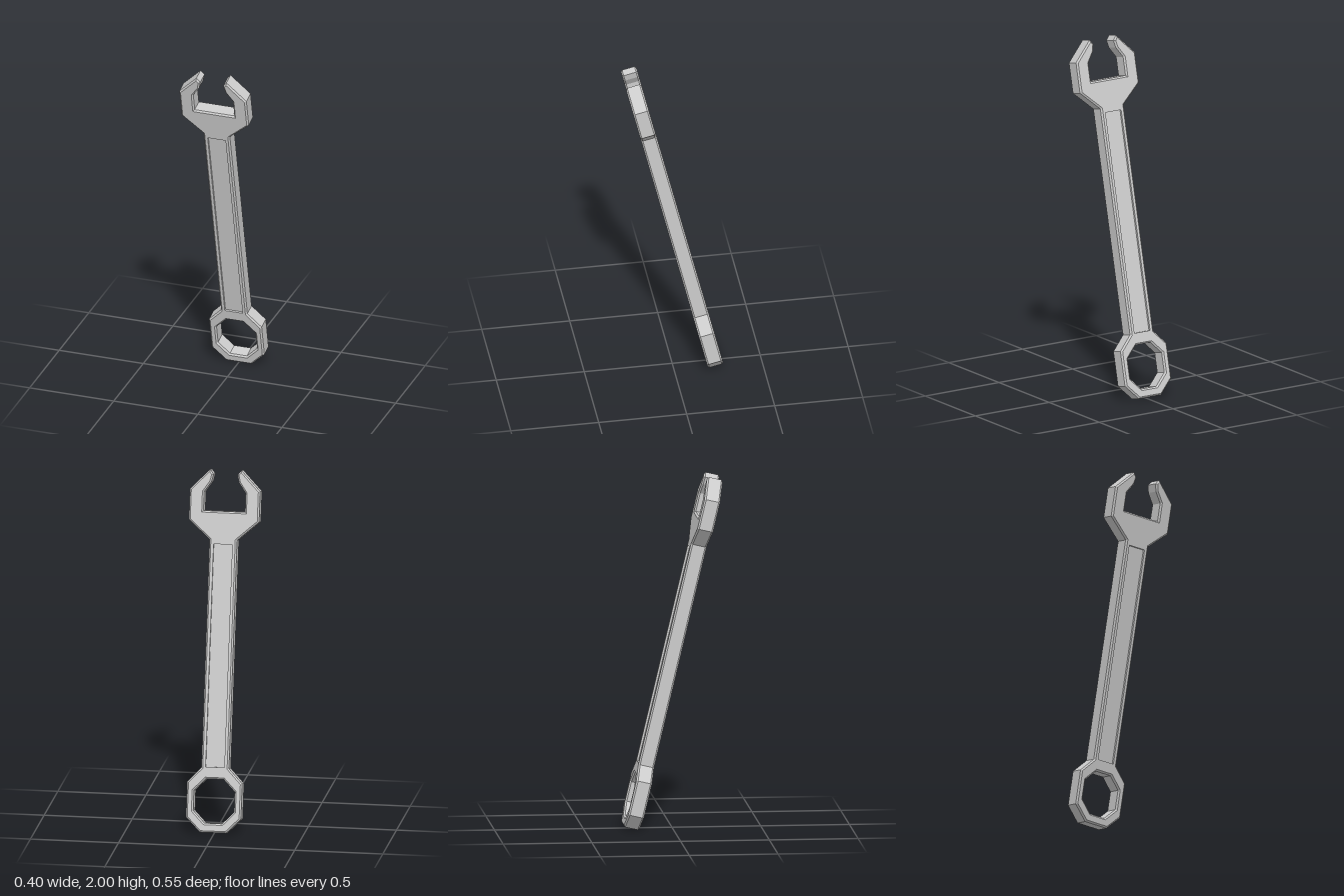
import * as THREE from 'three';

const THICKNESS = 0.09, CHAMFER = 0.009;
const SLOT = { x: 0.053, bottom: -0.651, top: 0.601, depth: 0.012 };

// Mirror a half outline (+x side, top to bottom) into a counter-clockwise loop
const mirrored = (half) =>
  [...half.map(([x, y]) => [-x, y]), ...half.slice().reverse()]
    .map(([x, y]) => new THREE.Vector2(x, y));

function bodyGeometry() {
  // Open jaw, shaft and ring end in one outline
  const shape = new THREE.Shape(mirrored([
    [0.118, 0.786], [0.118, 0.892], [0.078, 0.95], [0.068, 0.993], [0.089, 1.019],
    [0.199, 0.906], [0.199, 0.733], [0.078, 0.626],
    [0.078, -0.656], [0.156, -0.738], [0.156, -0.937], [0.075, -1.019],
  ]));
  // Eight-sided hole in the ring
  shape.holes.push(new THREE.Path(mirrored([
    [0.05, -0.718], [0.116, -0.786], [0.116, -0.899], [0.05, -0.967],
  ])));
  // Slot for the recessed panel
  shape.holes.push(new THREE.Path(mirrored([
    [SLOT.x, SLOT.top], [SLOT.x, SLOT.bottom],
  ])));

  const depth = THICKNESS - 2 * CHAMFER;
  const geometry = new THREE.ExtrudeGeometry(shape, {
    depth, bevelEnabled: true, bevelSegments: 1,
    bevelSize: CHAMFER, bevelThickness: CHAMFER, bevelOffset: -CHAMFER,
  });
  geometry.translate(0, 0, -depth / 2);

  // Straighten the slot walls, so only the other edges are chamfered
  const p = geometry.attributes.position;
  for (let i = 0; i < p.count; i++) {
    const x = p.getX(i), y = p.getY(i);
    if (Math.abs(x) < 0.065 && y > -0.67 && y < 0.62) {
      p.setXY(i, Math.sign(x) * SLOT.x, y > 0 ? SLOT.top : SLOT.bottom);
    }
  }
  geometry.computeVertexNormals();
  return geometry;
}

export function createModel() {
  const material = new THREE.MeshStandardMaterial({ color: 0xcccccc, flatShading: true });
  const wrench = new THREE.Group();
  wrench.name = 'wrench';

  const body = new THREE.Mesh(bodyGeometry(), material);
  body.name = 'wrenchBody';

  // Panel closing the slot below both faces
  const panel = new THREE.Mesh(new THREE.BoxGeometry(
    2 * SLOT.x, SLOT.top - SLOT.bottom, THICKNESS - 2 * SLOT.depth), material);
  panel.name = 'recessedPanel';
  panel.position.y = (SLOT.top + SLOT.bottom) / 2;

  wrench.add(body, panel);

  // Lean the jaw end forwards
  wrench.rotation.x = 0.233;
  wrench.position.y = 1;
  const model = new THREE.Group();
  model.name = 'model';
  model.add(wrench);
  return model;
}
